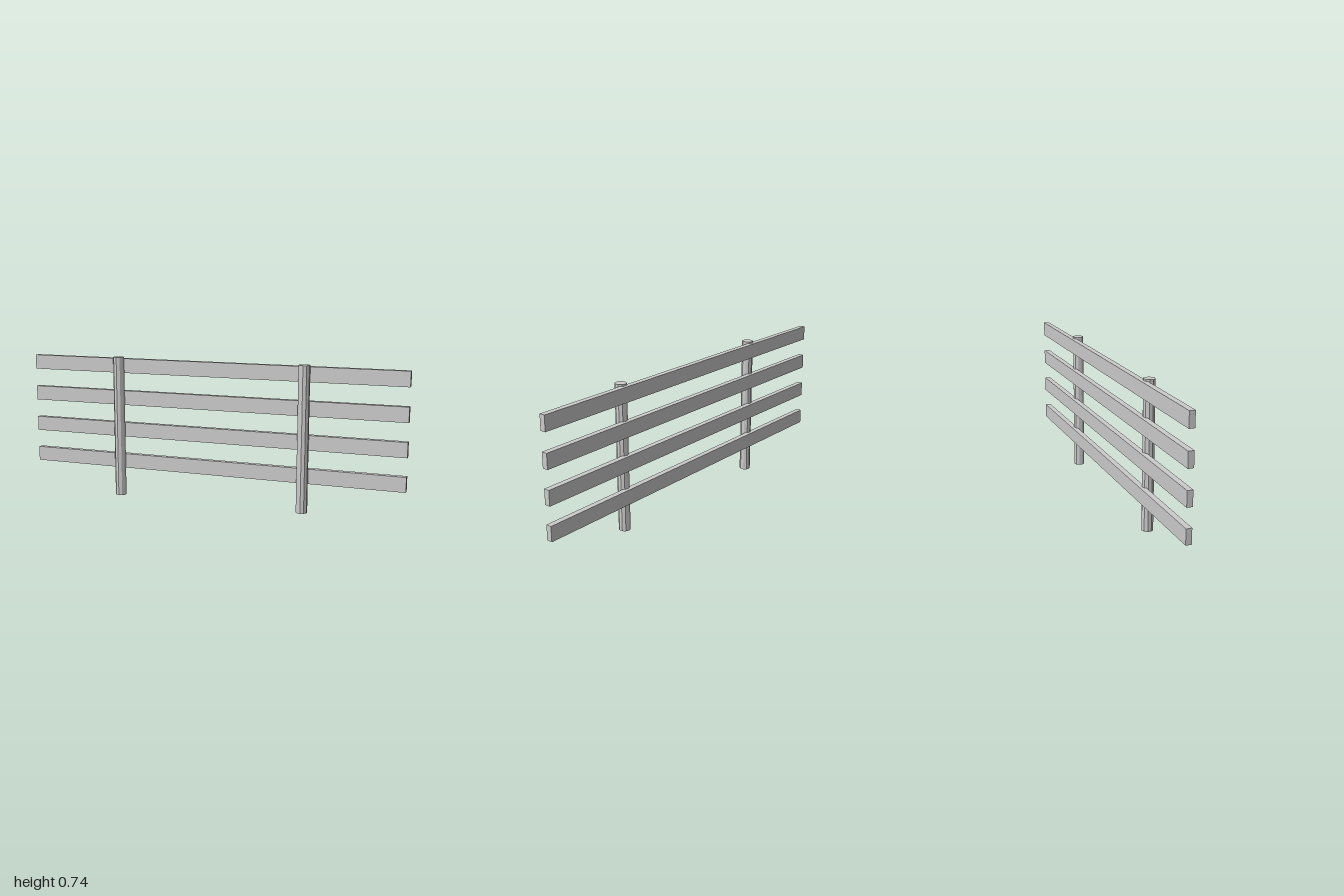
import * as THREE from 'three';

export function createModel() {
  const group = new THREE.Group();
  const material = new THREE.MeshStandardMaterial({ color: 0xcccccc, flatShading: true });

  const add = (name, geometry, x, y, z) => {
    const mesh = new THREE.Mesh(geometry, material);
    mesh.name = name;
    mesh.position.set(x, y, z);
    group.add(mesh);
  };

  // Two ten-sided posts standing on the ground
  const postHeight = 0.735;
  const postRadius = 0.0285;
  const post = new THREE.CylinderGeometry(postRadius, postRadius, postHeight, 10);
  add('leftPost', post, 0.496, postHeight / 2, 0.0075);
  add('rightPost', post, -0.496, postHeight / 2, 0.0075);

  // Four evenly spaced planks let into the back of the posts
  const rail = new THREE.BoxGeometry(2, 0.0755, 0.0285);
  for (let i = 0; i < 4; i++) {
    add(`rail${i + 1}`, rail, 0, 0.1815 + i * 0.169, -0.0217);
  }

  return group;
}
